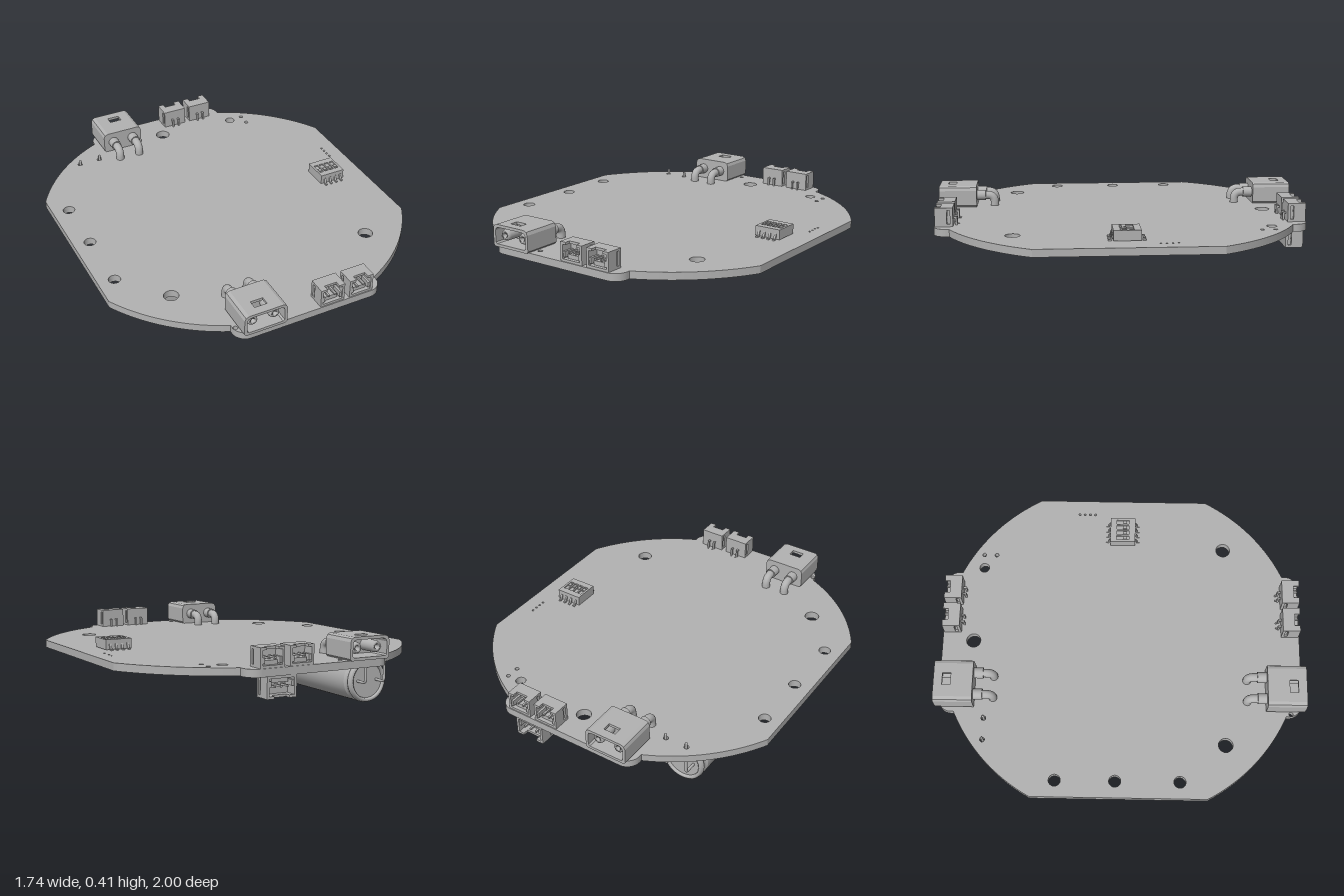
import * as THREE from 'three';

const grey = new THREE.MeshStandardMaterial({ color: 0xb2b2b2 });
grey.name = 'plain grey';

function add(parent, name, geometry, x = 0, y = 0, z = 0) {
  const mesh = new THREE.Mesh(geometry, grey);
  mesh.name = name;
  mesh.position.set(x, y, z);
  parent.add(mesh);
  return mesh;
}
const box = (parent, name, w, h, d, x, y, z) => add(parent, name, new THREE.BoxGeometry(w, h, d), x, y, z);
const rod = (r, len, sides = 20) => new THREE.CylinderGeometry(r, r, len, sides).rotateX(Math.PI / 2);
const polygon = pts => new THREE.Shape(pts.map(p => new THREE.Vector2(p[0], p[1])));
const extrude = (shape, depth) => new THREE.ExtrudeGeometry(shape, { depth, bevelEnabled: false, curveSegments: 32 });

const TOP = 0.29, BOTTOM = 0.25;

// Round board with flat sides, rounded end tabs and drilled holes
function buildBoard(parent) {
  const s = new THREE.Shape(), R = 0.989;
  const side = Math.atan2(0.47, 0.87), tab = Math.atan2(0.9, 0.41);
  s.moveTo(0.87, -0.47);
  s.lineTo(0.87, 0.47);
  s.absarc(0, 0, R, side, tab, false);
  s.lineTo(0.41, 0.915);
  s.absarc(0.34, 0.915, 0.07, 0, Math.PI / 2, false);
  s.lineTo(-0.34, 0.985);
  s.absarc(-0.34, 0.915, 0.07, Math.PI / 2, Math.PI, false);
  s.lineTo(-0.41, 0.9);
  s.absarc(0, 0, R, Math.PI - tab, Math.PI - side, false);
  s.lineTo(-0.87, -0.47);
  s.absarc(0, 0, R, Math.PI + side, Math.PI + tab, false);
  s.lineTo(-0.41, -0.915);
  s.absarc(-0.34, -0.915, 0.07, Math.PI, Math.PI * 1.5, false);
  s.lineTo(0.34, -0.985);
  s.absarc(0.34, -0.915, 0.07, -Math.PI / 2, 0, false);
  s.lineTo(0.41, -0.9);
  s.absarc(0, 0, R, -tab, -side, false);
  const holes = [
    [-0.78, -0.34, 0.032], [-0.78, -0.02, 0.032], [-0.78, 0.325, 0.032],
    [-0.575, 0.57, 0.039], [0.57, 0.57, 0.039], [0, -0.815, 0.039], [0.44, -0.78, 0.027],
    [0.52, -0.785, 0.011], [0.52, -0.715, 0.011],
    [-0.397, -0.933, 0.012], [-0.138, -0.933, 0.012], [-0.397, 0.925, 0.012], [-0.138, 0.925, 0.012],
    [-0.565, -0.735, 0.013], [-0.445, -0.735, 0.013],
    [0.1, 0.86, 0.005], [0.13, 0.86, 0.005], [0.265, 0.86, 0.005], [0.295, 0.86, 0.005],
  ];
  for (let i = 0; i < 4; i++) holes.push([0.785, -0.25 + i * 0.03, 0.006]);
  for (const [x, z, r] of holes) {
    const h = new THREE.Path();
    h.absarc(x, z, r, 0, Math.PI * 2, true);
    s.holes.push(h);
  }
  add(parent, 'board', extrude(s, TOP - BOTTOM).rotateX(Math.PI / 2), 0, TOP, 0);
}

// Two-pole power connector: hollow shell with a top window, bullet pins and bent tails
function buildPowerConnector(parent, x, facing) {
  const g = new THREE.Group();
  g.name = 'powerConnector';
  const w = 0.117, h = 0.118, c = 0.024, t = 0.015, win = 0.034, shift = -0.006;
  const outer = [[-w, 0.01], [-w + 0.01, 0], [w - 0.01, 0], [w, 0.01], [w, h - c], [w - 0.007, h - 0.007],
    [w - c, h], [-w + c, h], [-w + 0.007, h - 0.007], [-w, h - c]];
  const inner = outer.map(([px, py]) => [px * (1 - t / w), h / 2 + (py - h / 2) * (1 - 2 * t / h)]);
  const ring = () => {
    const s = polygon(outer);
    s.holes.push(new THREE.Path(inner.map(p => new THREE.Vector2(p[0], p[1]))));
    return s;
  };
  const lo = shift - win, hi = shift + win;
  const cut = [[lo, h], ...outer.slice(7), ...outer.slice(0, 7), [hi, h],
    [hi, h - t], ...inner.slice(0, 7).reverse(), ...inner.slice(7).reverse(), [lo, h - t]];
  add(g, 'shellRear', extrude(polygon(outer), 0.085), 0, 0, 0.79);
  add(g, 'shellInner', extrude(ring(), 0.033), 0, 0, 0.875);
  add(g, 'shellWindow', extrude(polygon(cut), 0.045), 0, 0, 0.908);
  add(g, 'shellRim', extrude(ring(), 0.047), 0, 0, 0.953);
  for (const px of [-0.06, 0.06]) {
    // Hollow bullet pin
    const pin = [[0.03, 0], [0.03, 0.09], [0.024, 0.105], [0.012, 0.105], [0.012, 0.06], [0, 0.06]];
    add(g, 'pin', new THREE.LatheGeometry(pin.map(p => new THREE.Vector2(p[0], p[1])), 24).rotateX(Math.PI / 2), px, 0.059, 0.87);
    // Tail bending down through the board
    add(g, 'tailCollar', rod(0.029, 0.055), px, 0.059, 0.7675);
    const path = new THREE.CurvePath();
    const V = (y, z) => new THREE.Vector3(px, y, z);
    path.add(new THREE.LineCurve3(V(0.059, 0.75), V(0.059, 0.73)));
    path.add(new THREE.QuadraticBezierCurve3(V(0.059, 0.73), V(0.059, 0.69), V(0.015, 0.69)));
    path.add(new THREE.LineCurve3(V(0.015, 0.69), V(-0.06, 0.69)));
    add(g, 'tail', new THREE.TubeGeometry(path, 28, 0.023, 16));
    add(g, 'tailTip', new THREE.CylinderGeometry(0.021, 0.014, 0.016, 16), px, -0.067, 0.69);
  }
  g.position.set(x, TOP, 0);
  g.rotation.y = facing > 0 ? 0 : Math.PI;
  parent.add(g);
}

// Open-fronted signal header; pins are spread evenly over its width
function buildHeader(parent, name, x, y, facing, w, h, pins, flipped) {
  const g = new THREE.Group();
  g.name = name;
  const t = 0.013, z0 = 0.885, z1 = 0.98, zm = (z0 + z1) / 2, d = z1 - z0;
  box(g, 'floor', w, t, d, 0, t / 2, zm);
  box(g, 'backWall', w - 0.02, h - 0.002, 0.03, 0, h / 2, z0 + 0.015);
  for (const s of [-1, 1]) {
    box(g, 'sideWall', t, h, 0.063, s * (w - t) / 2, h / 2, z1 - 0.0315);
    box(g, 'rearCorner', 0.014, h, 0.015, s * (w / 2 - 0.007), h / 2, z0 + 0.0075);
    box(g, 'topLip', w * 0.25, t, d, s * w * 0.375, h - t / 2, zm);
    box(g, 'latchRib', 0.012, 0.03, 0.06, s * (w / 2 - 0.02), h * 0.36, z1 - 0.034);
  }
  box(g, 'roof', w * 0.5, t, d - 0.03, 0, h - t / 2, zm - 0.015);
  box(g, 'keyBlock', w * 0.56, 0.022, 0.05, 0, t + 0.011, z1 - 0.045);
  for (let i = 0; i < pins; i++) {
    const px = (i - (pins - 1) / 2) * 0.036;
    box(g, 'contact', 0.01, 0.01, 0.07, px, h * 0.48, z0 + 0.055);
    box(g, 'legTop', 0.01, 0.01, 0.02, px, h * 0.4, z0 - 0.008);
    box(g, 'legDrop', 0.01, h * 0.4, 0.01, px, h * 0.2, z0 - 0.014);
  }
  g.position.set(x, y, 0);
  g.rotation.set(0, facing > 0 ? 0 : Math.PI, flipped ? Math.PI : 0);
  parent.add(g);
}

// Four-way slide switch block with gull-wing legs
function buildSwitch(parent) {
  const g = new THREE.Group();
  g.name = 'switchBlock';
  box(g, 'switchBody', 0.145, 0.045, 0.14, 0, 0.0255, 0);
  for (const s of [-1, 1]) {
    box(g, 'topRail', 0.145, 0.008, 0.035, 0, 0.052, s * 0.0525);
    box(g, 'endRail', 0.012, 0.008, 0.07, s * 0.0665, 0.052, 0);
  }
  for (let i = 0; i < 4; i++) {
    const x = (i - 1.5) * 0.033;
    box(g, 'slider', 0.016, 0.008, 0.022, x, 0.052, 0.012);
    if (i < 3) box(g, 'divider', 0.008, 0.008, 0.07, x + 0.0165, 0.052, 0);
    for (const s of [-1, 1]) {
      const leg = box(g, 'leg', 0.012, 0.034, 0.007, x, 0.017, s * 0.076);
      leg.rotation.x = -s * 0.35;
      box(g, 'foot', 0.012, 0.007, 0.016, x, 0.0035, s * 0.087);
    }
  }
  g.position.set(0.664, TOP, 0);
  parent.add(g);
}

// Large can capacitor lying under the board
function buildCapacitor(parent) {
  const g = new THREE.Group();
  g.name = 'capacitor';
  const lathe = pts => new THREE.LatheGeometry(pts.map(p => new THREE.Vector2(p[0], p[1])), 48).rotateX(Math.PI / 2);
  const R = 0.118;
  add(g, 'canBody', lathe([[R, -0.62], [R, 0.379]]));
  add(g, 'canEnd', lathe([[R, 0.379], [0.112, 0.385], [0, 0.385]]));
  add(g, 'canGroove', lathe([[R, -0.655], [0.113, -0.645], [0.109, -0.637], [0.113, -0.629], [R, -0.62]]));
  add(g, 'canRim', lathe([[0.094, -0.665], [0.096, -0.676], [0.104, -0.68], [0.113, -0.674], [R, -0.655]]));
  add(g, 'seal', lathe([[0, -0.665], [0.094, -0.665]]));
  // Pressure vent cross
  box(g, 'ventLine', 0.215, 0.008, 0.004, 0, 0, 0.386);
  box(g, 'ventLine', 0.008, 0.215, 0.004, 0, 0, 0.386);
  // Wire leads rising through the board
  for (const x of [-0.06, 0.06]) {
    const V = (y, z) => new THREE.Vector3(x, y, z);
    const path = new THREE.CurvePath();
    path.add(new THREE.LineCurve3(V(0, -0.66), V(0, -0.715)));
    path.add(new THREE.QuadraticBezierCurve3(V(0, -0.715), V(0, -0.735), V(0.02, -0.735)));
    path.add(new THREE.LineCurve3(V(0.02, -0.735), V(0.195, -0.735)));
    add(g, 'lead', new THREE.TubeGeometry(path, 30, 0.0075, 10));
    add(g, 'leadTip', new THREE.SphereGeometry(0.0075, 10, 6), x, 0.195, -0.735);
  }
  g.position.set(-0.503, R, 0);
  parent.add(g);
}

export function createModel() {
  const model = new THREE.Group();
  model.name = 'circuitBoard';
  buildBoard(model);
  buildCapacitor(model);
  buildSwitch(model);
  for (const facing of [1, -1]) {
    buildPowerConnector(model, -0.269, facing);
    for (const x of [0.115, 0.28]) buildHeader(model, 'signalHeader', x, TOP, facing, 0.135, 0.1, 2, false);
  }
  buildHeader(model, 'lowerHeader', 0.228, BOTTOM, -1, 0.165, 0.11, 3, true);
  return model;
}
